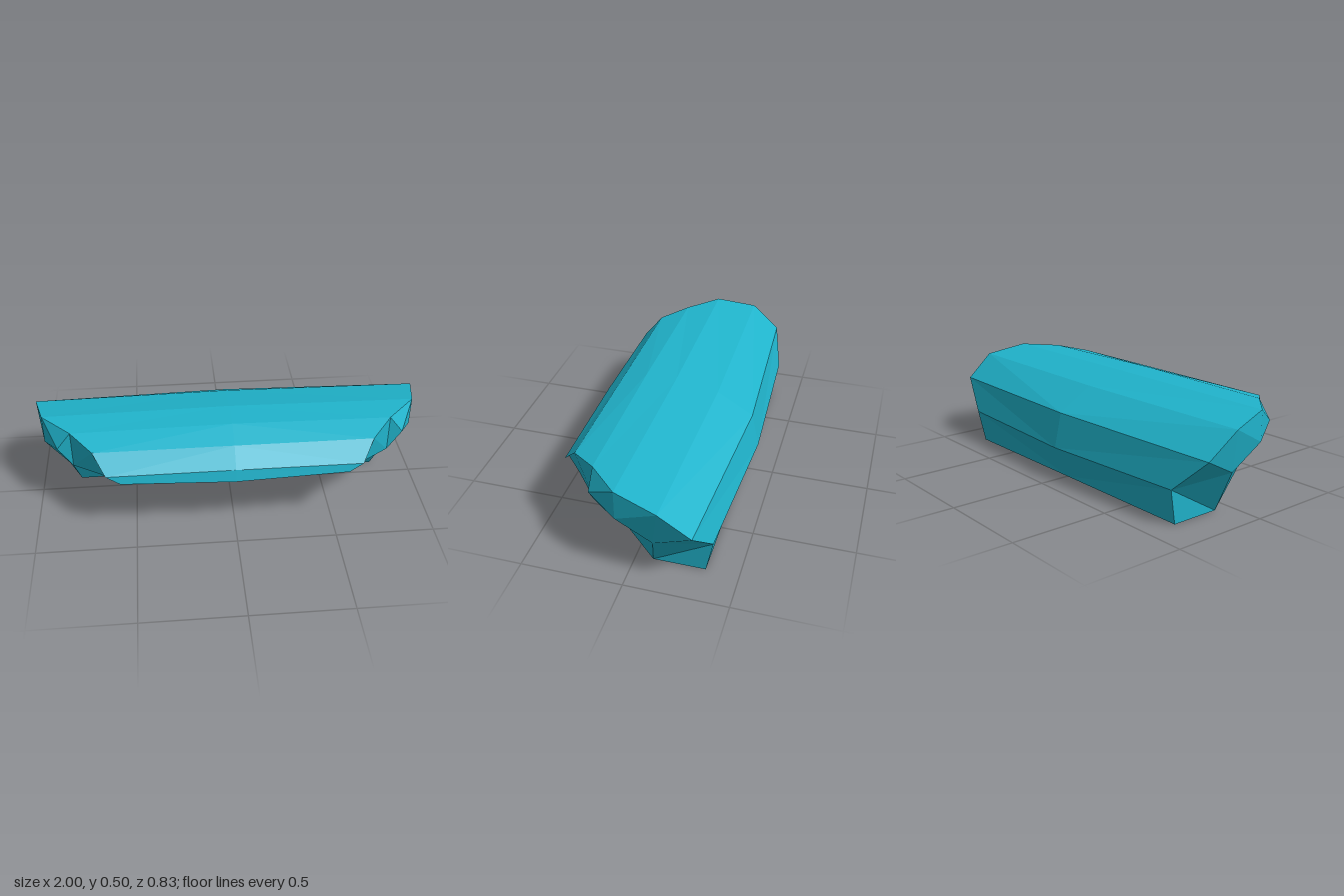
import * as THREE from 'three';

// Profile loop, lip -> top -> back -> base -> underside: end x, y, z, then centre y, z
const PROFILE = [
  [0.56, 0.33, 0.41, 0.315, 0.42],
  [0.63, 0.37, 0.40, 0.375, 0.405],
  [0.69, 0.46, 0.32, 0.46, 0.32],
  [0.80, 0.49, 0.19, 0.50, 0.19],
  [0.95, 0.495, 0.04, 0.50, 0.03],
  [1.00, 0.455, -0.17, 0.455, -0.19],
  [0.98, 0.335, -0.32, 0.345, -0.375],
  [0.81, 0.175, -0.375, 0.17, -0.415],
  [0.80, 0, -0.34, 0, -0.34],
  [0.80, 0, -0.085, 0, -0.085],
  [0.845, 0.21, 0.015, 0.21, 0.015],
  [0.80, 0.295, 0.19, 0.295, 0.19],
  [0.66, 0.33, 0.32, 0.325, 0.32],
];

// Extra corners on each flared end: 13 front, 14 middle, 15 rear
const FLARE = [[0.87, 0.40, 0.19], [0.95, 0.345, 0.04], [0.94, 0.235, -0.13]];

// Facets closing an end, as corner indices
const END_FACETS = [
  [2, 1, 0, 12], [12, 11, 2], [3, 2, 11], [3, 11, 13],
  [4, 3, 13, 14], [5, 4, 14, 15], [15, 7, 6, 5],
  [9, 8, 7, 15], [11, 10, 14, 13], [10, 9, 15, 14],
];

// Flat-faceted geometry from convex polygons, mirrored when side is -1
function facets(polygons, side) {
  const pos = [];
  for (const p of polygons) {
    for (let i = 1; i < p.length - 1; i++) {
      const tri = side > 0 ? [p[0], p[i], p[i + 1]] : [p[0], p[i + 1], p[i]];
      for (const [x, y, z] of tri) pos.push(x * side, y, z);
    }
  }
  const g = new THREE.BufferGeometry();
  g.setAttribute('position', new THREE.Float32BufferAttribute(pos, 3));
  g.computeVertexNormals();
  return g;
}

export function createModel() {
  const group = new THREE.Group();
  group.name = 'curvedShell';
  const teal = new THREE.MeshStandardMaterial({ color: 0x20b4cc });
  teal.name = 'teal';
  teal.flatShading = true;

  const ends = PROFILE.map(([x, y, z]) => [x, y, z]).concat(FLARE);
  const mid = PROFILE.map((p) => [0, p[3], p[4]]);

  // Long panels from the centre line to each end
  const panels = PROFILE.map((_, i) => {
    const j = (i + 1) % PROFILE.length;
    return [ends[i], ends[j], mid[j], mid[i]];
  });
  const caps = END_FACETS.map((f) => f.map((i) => ends[i]));

  for (const [side, label] of [[1, 'left'], [-1, 'right']]) {
    const body = new THREE.Mesh(facets(panels, side), teal);
    body.name = label + 'Panels';
    const end = new THREE.Mesh(facets(caps, side), teal);
    end.name = label + 'FlaredEnd';
    group.add(body, end);
  }
  return group;
}
